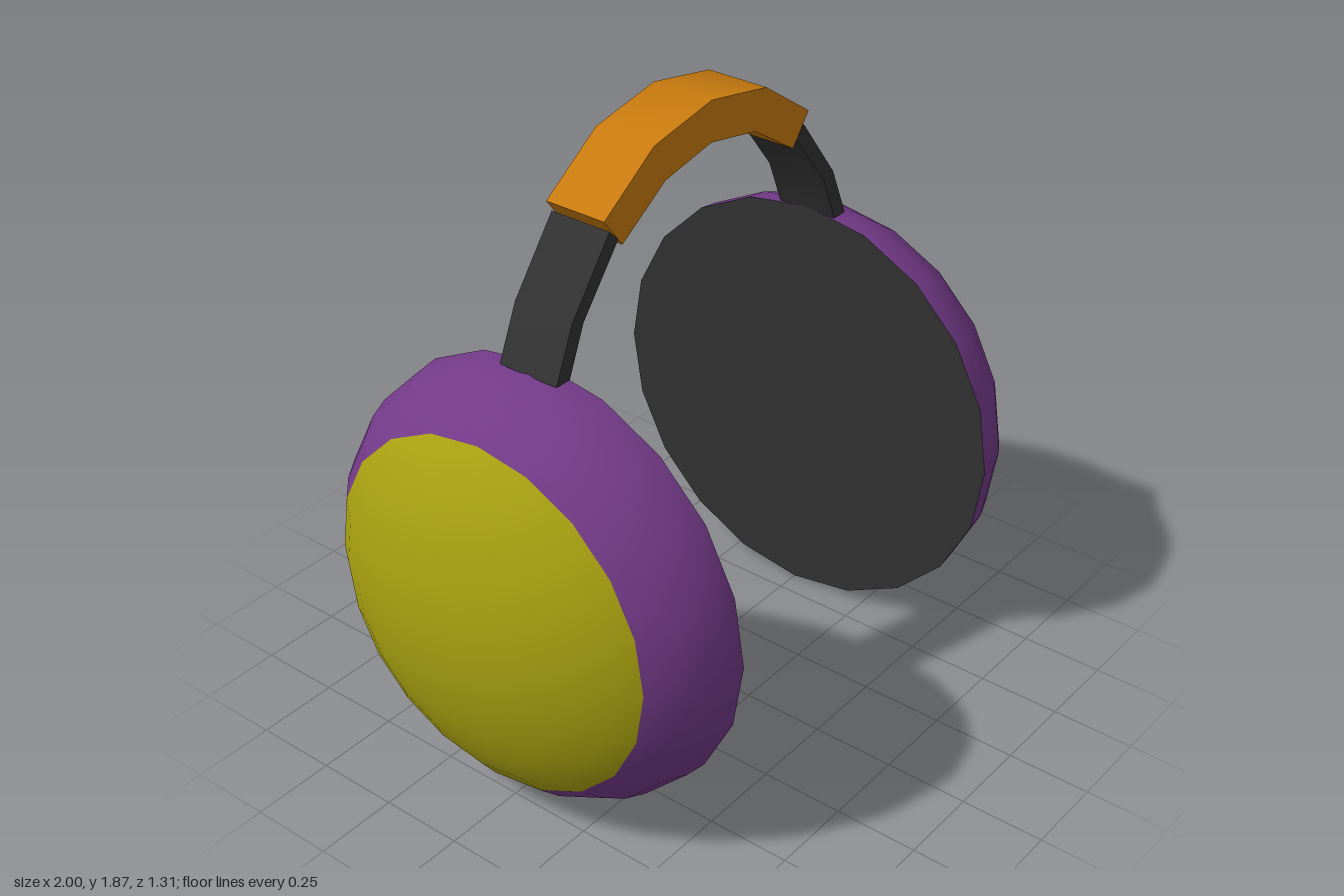
import * as THREE from 'three';
import { toCreasedNormals } from 'three/addons/utils/BufferGeometryUtils.js';

const RADIUS = 0.657, DEPTH = 0.425, INNER_X = 0.575, STRAP_WIDTH = 0.192;
const SIDES = 20, RING = Math.PI / 20;

const mat = (color) => new THREE.MeshStandardMaterial({ color });
const purple = mat(0x733a88), yellow = mat(0xa8a010), orange = mat(0xc87a0e), dark = mat(0x323232);

function part(name, geometry, material) {
  const mesh = new THREE.Mesh(geometry, material);
  mesh.name = name;
  return mesh;
}

// Band of a flattened dome, between two rings counted from the pole
function domeBand(from, to) {
  return new THREE.SphereGeometry(1, SIDES, to - from, 0, Math.PI * 2, from * RING, (to - from) * RING)
    .scale(RADIUS, DEPTH, RADIUS);
}

// Ear cup with its dome pointing outwards along x
function earCup(side, capRings) {
  const cup = new THREE.Group();
  cup.name = side > 0 ? 'leftEarCup' : 'rightEarCup';
  const pad = new THREE.CircleGeometry(RADIUS, SIDES).rotateX(Math.PI / 2);
  cup.add(
    part('outerCap', domeBand(0, capRings), yellow),
    part('shell', domeBand(capRings, 10), purple),
    part('earPad', pad, dark)
  );
  cup.rotation.z = -side * Math.PI / 2;
  cup.position.set(side * INNER_X, RADIUS, 0);
  return cup;
}

// Strap extruded across z from an outline in the front plane
function strap(name, outline, material) {
  const shape = new THREE.Shape(outline.map(([x, y]) => new THREE.Vector2(x, y)));
  const geometry = new THREE.ExtrudeGeometry(shape, { depth: STRAP_WIDTH, bevelEnabled: false });
  geometry.translate(0, 0, -STRAP_WIDTH / 2);
  return part(name, toCreasedNormals(geometry, 0.6), material);
}

const mirror = (points) => points.map(([x, y]) => [-x, y]).reverse();

export function createModel() {
  const model = new THREE.Group();
  model.name = 'headphones';

  // Ear cups: the outer cap is larger on the right
  model.add(earCup(1, 5), earCup(-1, 6));

  // Padded headband
  const outer = [[0.433, 1.69], [0.235, 1.825]];
  const inner = [[0.364, 1.6], [0.19, 1.713]];
  model.add(strap('headband', [
    ...outer, [0, 1.869], ...mirror(outer),
    ...mirror(inner).reverse(), [0, 1.75], ...[...inner].reverse(),
  ], orange));

  // Arms joining the headband to the cups
  const arm = [
    [0.578, 1.303], [0.63, 1.303], [0.563, 1.458], [0.415, 1.667],
    [0.38, 1.621], [0.52, 1.443],
  ];
  arm[3] = [0.413, 1.655];
  model.add(strap('leftArm', arm, dark), strap('rightArm', mirror(arm), dark));

  return model;
}
